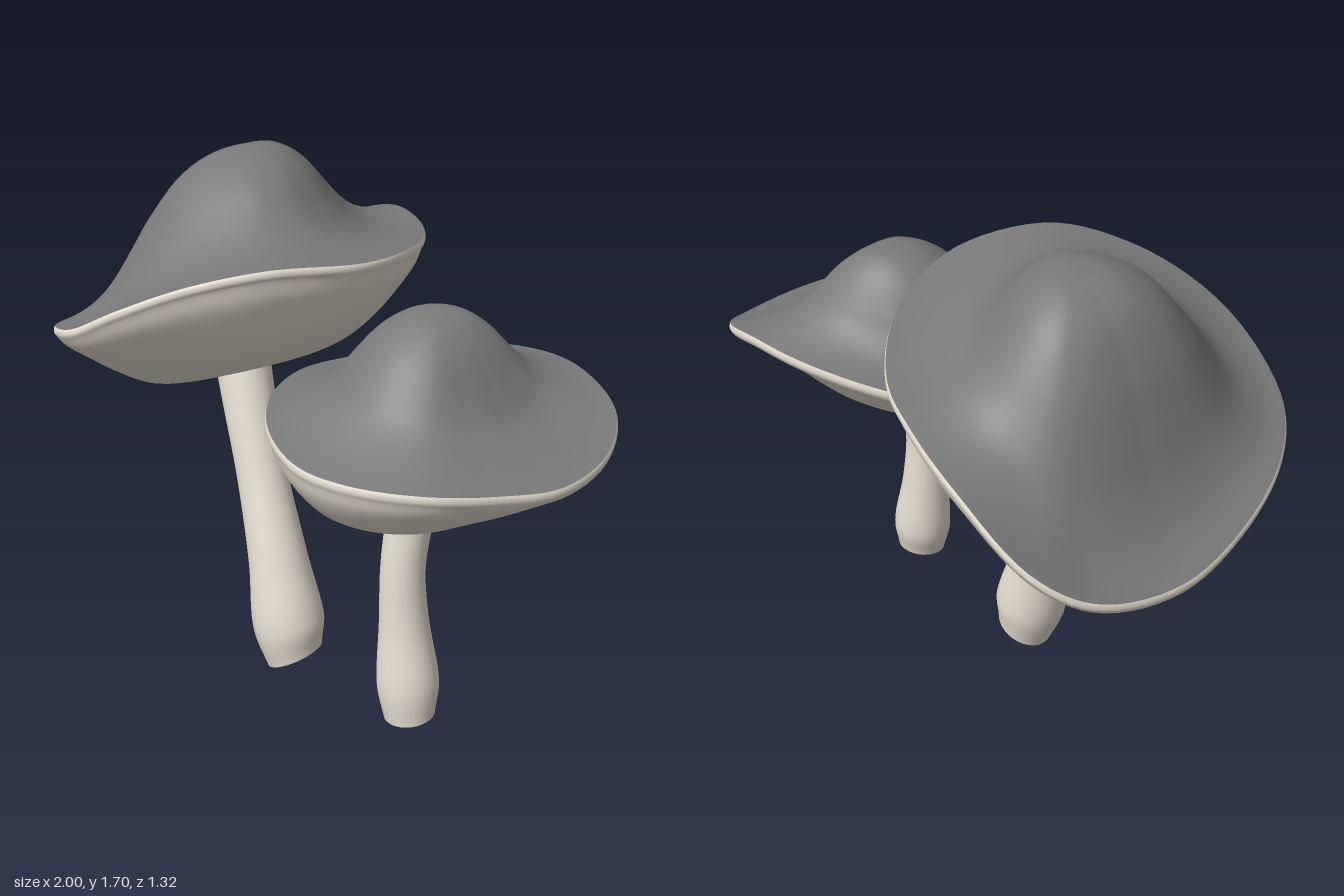
import * as THREE from 'three';

const V = (x, y, z) => new THREE.Vector3(x, y, z);
const lerp = THREE.MathUtils.lerp;
const capMat = new THREE.MeshStandardMaterial({ color: 0x7b7b7b, side: THREE.DoubleSide });
const creamMat = new THREE.MeshStandardMaterial({ color: 0xe6dfd1, side: THREE.DoubleSide });
const SEG = 96;
const EDGE = 0.994; // where the cap skin meets the lip
const KNOTS = [0, 0.15, 0.3, 0.45, 0.55, 0.65, 0.75, 0.88, 1];
// Underside bowl: [fraction of the rim distance, rise from floor to rim on the full side, on the shallow side]
const BOWL = [
  [0.95, 0.74, 0.88], [0.85, 0.46, 0.74], [0.72, 0.22, 0.5], [0.55, 0.06, 0.18],
  [0.35, 0.01, 0.03], [0.18, 0.015, 0.015], [0.01, 0.02, 0.02],
];

// Smooth surface through closed rings of points
function skin(rings) {
  const n = rings[0].length, pos = [], idx = [];
  for (const ring of rings) for (const p of ring) pos.push(p.x, p.y, p.z);
  for (let i = 0; i < rings.length - 1; i++) {
    for (let j = 0; j < n; j++) {
      const a = i * n + j, b = i * n + (j + 1) % n;
      idx.push(a, b, a + n, b, b + n, a + n);
    }
  }
  const g = new THREE.BufferGeometry();
  g.setAttribute('position', new THREE.Float32BufferAttribute(pos, 3));
  g.setIndex(idx);
  g.computeVertexNormals();
  return g;
}

// Rings across a fan of meridian curves, one per column
function skinMeridians(meridians, steps) {
  const cols = meridians.map(m => new THREE.CatmullRomCurve3(m, false, 'centripetal').getPoints(steps));
  return skin(cols[0].map((_, i) => cols.map(c => c[i])));
}

function add(group, geo, mat, name) {
  const m = new THREE.Mesh(geo, mat);
  m.name = name;
  group.add(m);
}

function makeMushroom(name, s) {
  const group = new THREE.Group();
  group.name = name;

  // Wavy rim, running from +x round to the front
  const rimCurve = new THREE.CatmullRomCurve3(s.rim.map(p => V(...p)), true, 'centripetal');
  const rim = Array.from({ length: SEG }, (_, j) => rimCurve.getPoint(j / SEG));

  // Domed cap: the drop profile blends between the +x and -x sides, fuller at the front
  const apex = V(...s.apex);
  add(group, skinMeridians(rim.map(r => {
    const dx = r.x - apex.x, dz = r.z - apex.z, len = Math.hypot(dx, dz);
    const w = 0.5 + 0.5 * dx / len, full = s.frontBulge * Math.max(0, dz / len);
    return KNOTS.map((t, k) => {
      const drop = lerp(s.minusX[k], s.plusX[k], w);
      const f = (t + full * t * (1 - t)) * EDGE;
      return V(apex.x + dx * f, apex.y + (r.y - apex.y) * drop, apex.z + dz * f);
    });
  }), 40), capMat, 'cap');

  // Rolled lip and rounded underside, shallower towards one side
  const c = V(...s.base);
  add(group, skinMeridians(rim.map(r => {
    const ax = r.x - apex.x, az = r.z - apex.z;
    const dx = r.x - c.x, dz = r.z - c.z;
    const shallow = 0.5 + 0.5 * (dx * s.shallowSide[0] + dz * s.shallowSide[1]) / Math.hypot(dx, dz);
    const at = (f, y) => V(c.x + dx * f, y, c.z + dz * f);
    const floor = f => c.y + f * (dx * s.slopeX + dz * s.slopeZ);
    return [
      V(apex.x + ax * EDGE, r.y, apex.z + az * EDGE),
      at(1, r.y - 0.009), at(1, r.y - 0.022), at(0.985, r.y - 0.038),
      ...BOWL.map(([f, a, b]) => at(f, lerp(floor(f), r.y - 0.02, lerp(a, b, shallow)))),
    ];
  }), 44), creamMat, 'capUnderside');

  // Bent stem, from top to foot; each entry is x, y, z, radius
  const path = new THREE.CatmullRomCurve3(s.stem.map(p => V(p[0], p[1], p[2])), false, 'centripetal');
  const radii = new THREE.CatmullRomCurve3(s.stem.map((p, i) => V(i, p[3], 0)), false, 'catmullrom');
  const cut = V(...s.cut).normalize(), rings = [], steps = 30, sides = 32;
  const ringAt = (p, t, r) => {
    const u = V(0, 0, 1).cross(t).normalize(), v = t.clone().cross(u);
    return Array.from({ length: sides }, (_, j) => {
      const a = j / sides * Math.PI * 2;
      return p.clone().addScaledVector(u, r * Math.cos(a)).addScaledVector(v, r * Math.sin(a));
    });
  };
  for (let i = 0; i <= steps; i++) {
    const k = i / steps;
    // The last rings lean over to meet the slanted cut
    const t = path.getTangent(k).lerp(cut, THREE.MathUtils.smoothstep(k, 0.75, 1)).normalize();
    rings.push(ringAt(path.getPoint(k), t, radii.getPoint(k).y));
  }
  add(group, skin(rings), creamMat, 'stem');
  add(group, skin([rings[steps], ringAt(path.getPoint(1), cut, 0.0005)]), creamMat, 'stemFoot');
  return group;
}

export function createModel() {
  const model = new THREE.Group();
  model.name = 'mushroomPair';

  model.add(makeMushroom('largeMushroom', {
    rim: [
      [0.2, 1.495, 0], [0.105, 1.515, 0.305], [-0.065, 1.455, 0.49], [-0.26, 1.35, 0.615], [-0.45, 1.24, 0.655],
      [-0.717, 1.14, 0.56], [-0.877, 1.07, 0.385], [-0.957, 0.98, 0.16], [-1, 0.935, -0.13],
      [-0.957, 0.99, -0.43], [-0.85, 1.11, -0.59], [-0.62, 1.29, -0.66], [-0.4, 1.375, -0.645],
      [-0.155, 1.4, -0.55], [0.085, 1.45, -0.32],
    ],
    apex: [-0.44, 1.7, -0.08], frontBulge: 0.38,
    minusX: [0, 0.03, 0.12, 0.31, 0.51, 0.71, 0.84, 0.94, 1],
    plusX: [0, 0.06, 0.28, 0.67, 0.87, 0.97, 1.01, 1.02, 1],
    base: [-0.33, 0.98, 0], slopeX: 0.42, slopeZ: 0, shallowSide: [-1, 0],
    stem: [
      [-0.345, 1.08, 0.075, 0.093], [-0.297, 0.95, 0.09, 0.09], [-0.188, 0.66, 0.113, 0.085],
      [-0.09, 0.38, 0.125, 0.1], [-0.038, 0.17, 0.125, 0.122], [-0.012, 0.046, 0.118, 0.1],
    ],
    cut: [0.45, -1, -0.2],
  }));

  model.add(makeMushroom('smallMushroom', {
    rim: [
      [1, 1.02, -0.08], [0.95, 1.04, 0.13], [0.86, 1.07, 0.335], [0.685, 1.075, 0.465], [0.49, 1.075, 0.505],
      [0.27, 1.09, 0.44], [0.11, 1.105, 0.31], [0, 1.1, 0.11], [-0.025, 1.08, -0.08], [0.08, 1.1, -0.27],
      [0.22, 1.13, -0.385], [0.41, 1.16, -0.48], [0.62, 1.16, -0.51], [0.835, 1.1, -0.465], [0.95, 1.04, -0.32],
    ],
    apex: [0.45, 1.41, -0.08], frontBulge: 0.28,
    minusX: [0, 0.04, 0.19, 0.47, 0.7, 0.85, 0.94, 0.99, 1],
    plusX: [0, 0.05, 0.23, 0.53, 0.7, 0.8, 0.87, 0.95, 1],
    base: [0.46, 0.825, 0.06], slopeX: -0.01, slopeZ: -0.04, shallowSide: [0, -1],
    stem: [
      [0.5, 0.9, 0.045, 0.077], [0.498, 0.8, 0.06, 0.075], [0.497, 0.6, 0.09, 0.071],
      [0.507, 0.4, 0.09, 0.08], [0.53, 0.2, 0.09, 0.1], [0.546, 0.085, 0.095, 0.083],
    ],
    cut: [0.05, -1, -0.12],
  }));

  return model;
}
